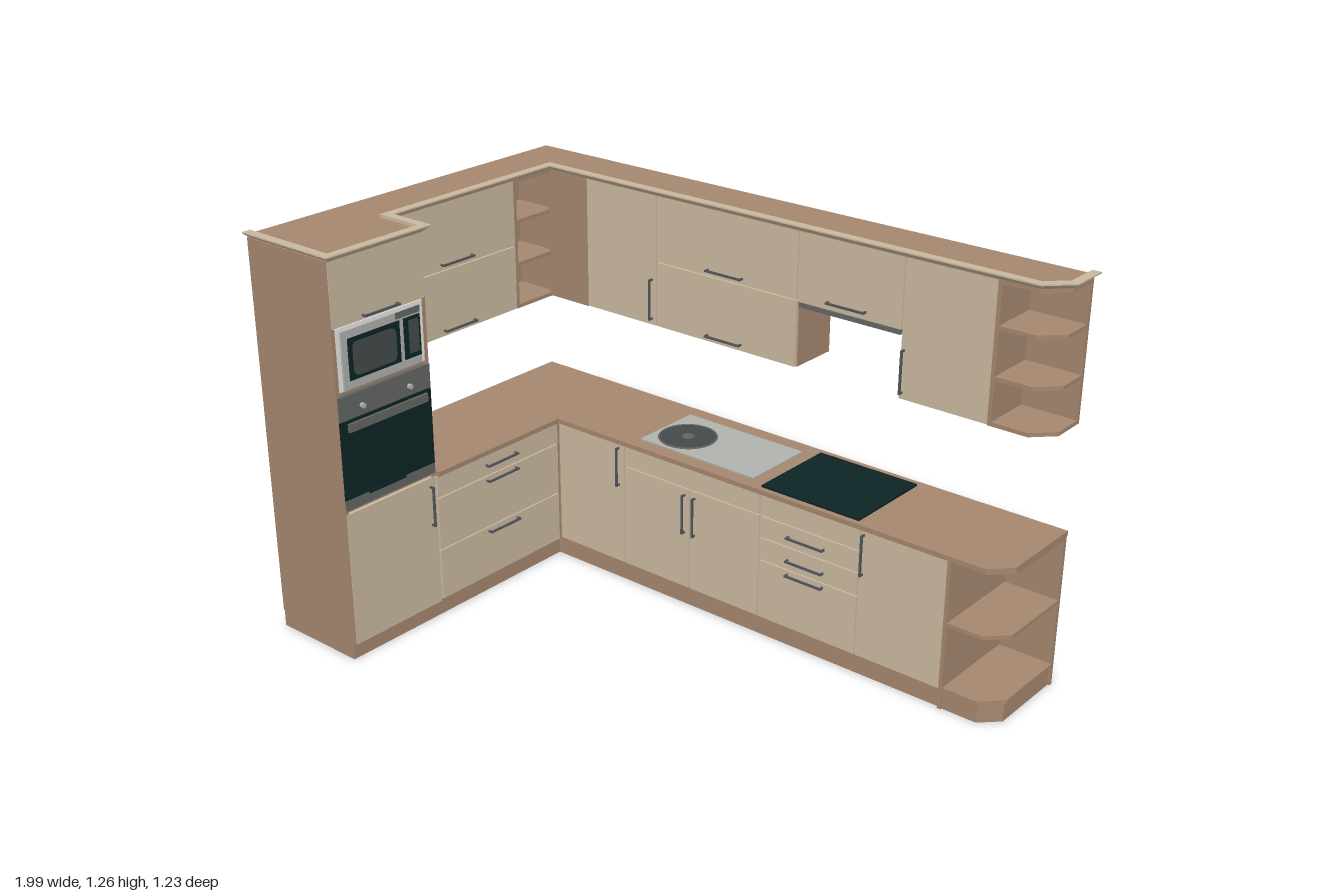
import * as THREE from 'three';

const mat = (name, color, side = THREE.FrontSide) => {
  const m = new THREE.MeshStandardMaterial({ color, side });
  m.name = name;
  return m;
};

export function createModel() {
  const root = new THREE.Group();
  root.name = 'cornerKitchen';
  const wood = mat('brownWood', 0xa5876f);
  const cream = mat('creamFront', 0xc9b89e, THREE.DoubleSide);
  const dark = mat('blackGlass', 0x0d2424);
  const steel = mat('lightSteel', 0xb0b2ae);
  const grey = mat('midGrey', 0x646664);
  const charcoal = mat('charcoal', 0x434a49);
  const handleMat = mat('handleMetal', 0x50565c);
  const white = mat('whiteFrame', 0xf4f4f2);

  const add = (name, geo, m) => {
    const mesh = new THREE.Mesh(geo, m);
    mesh.name = name;
    root.add(mesh);
    return mesh;
  };
  const box = (name, m, x0, x1, y0, y1, z0, z1) => {
    const mesh = add(name, new THREE.BoxGeometry(x1 - x0, y1 - y0, z1 - z0), m);
    mesh.position.set((x0 + x1) / 2, (y0 + y1) / 2, (z0 + z1) / 2);
    return mesh;
  };
  // Plan outline of [x, z] points raised from y0 to y1
  const prism = (name, m, pts, y0, y1) => {
    const shape = new THREE.Shape(pts.map(([x, z]) => new THREE.Vector2(x, -z)));
    const geo = new THREE.ExtrudeGeometry(shape, { depth: y1 - y0, bevelEnabled: false });
    return add(name, geo.rotateX(-Math.PI / 2).translate(0, y0, 0), m);
  };

  // Runs: the back run faces +z, the left run faces +x; "at" is the front plane
  const backLow = { x: false, at: -0.288 }, backUp = { x: false, at: -0.443 };
  const leftLow = { x: true, at: -0.667 }, leftUp = { x: true, at: -0.823 };
  const slab = (name, m, run, a0, a1, y0, y1, d0, d1) => run.x
    ? box(name, m, run.at + d0, run.at + d1, y0, y1, a0, a1)
    : box(name, m, a0, a1, y0, y1, run.at + d0, run.at + d1);
  const front = (run, a0, a1, y0, y1) =>
    slab('doorFront', cream, run, a0 + 0.002, a1 - 0.002, y0 + 0.002, y1 - 0.002, -0.012, 0);
  const bar = (run, a0, a1, y0, y1) => {
    slab('handle', handleMat, run, a0, a1, y0, y1, 0.01, 0.016);
    const tall = y1 - y0 > a1 - a0;
    for (const e of [0, 1]) {
      if (tall) { const y = e ? y1 - 0.006 : y0; slab('handlePost', handleMat, run, a0, a1, y, y + 0.006, 0, 0.01); }
      else { const a = e ? a1 - 0.006 : a0; slab('handlePost', handleMat, run, a, a + 0.006, y0, y1, 0, 0.01); }
    }
  };
  const hBar = (run, a, y) => bar(run, a - 0.066, a + 0.066, y - 0.003, y + 0.003);
  const vBar = (run, a, y) => bar(run, a - 0.003, a + 0.003, y - 0.066, y + 0.066);

  // Lower carcasses
  const B = -0.615, Y0 = 0.055, Y1 = 0.485;
  box('cornerCabinet', wood, -1, -0.387, Y0, Y1, B, -0.3);
  box('drawerCabinet', wood, 0.142, 0.494, Y0, Y1, B, -0.3);
  box('rightCabinet', wood, 0.497, 0.783, Y0, Y1, B, -0.3);
  box('leftCabinet', wood, -1, -0.679, Y0, Y1, -0.25, 0.247);
  box('cornerFiller', wood, -0.98, -0.679, Y0, Y1, -0.3, -0.25);
  // Sink cabinet, open at the back
  for (const x of [-0.385, 0.126]) box('sinkCabinetSide', wood, x, x + 0.014, Y0, Y1, B, -0.3);
  box('sinkCabinetFloor', wood, -0.385, 0.14, Y0, Y0 + 0.014, B, -0.3);
  box('sinkCabinetRail', wood, -0.385, 0.14, 0.445, Y1, B, B + 0.012);

  // Worktop
  prism('worktop', wood, [[-1, B], [0.97, B], [0.97, -0.33], [0.91, -0.27], [-0.65, -0.27],
    [-0.65, 0.25], [-1, 0.25]], 0.485, 0.5);

  // Plinths
  box('backPlinth', wood, -0.69, 0.785, 0, 0.06, -0.312, -0.3);
  box('leftPlinth', wood, -0.697, -0.685, 0, Y0, -0.312, 0.597);
  box('towerPlinth', wood, -1, -0.685, 0, Y0, 0.583, 0.597);

  // Legs
  const leg = (x, z) => {
    add('leg', new THREE.CylinderGeometry(0.008, 0.008, 0.06, 10), dark).position.set(x, 0.03, z);
  };
  for (const x of [-0.97, -0.405, -0.365, 0.12, 0.16, 0.475, 0.515, 0.76])
    for (const z of [-0.585, -0.335]) if (x > -0.9 || z < -0.5) leg(x, z);
  for (const z of [-0.34, -0.23, 0.225, 0.275, 0.565]) for (const x of [-0.97, -0.72]) leg(x, z);

  // Lower fronts and handles
  front(backLow, -0.665, -0.387, 0.065, Y1);
  front(backLow, -0.387, 0.142, 0.407, Y1);
  front(backLow, -0.387, -0.125, 0.065, 0.407);
  front(backLow, -0.125, 0.142, 0.065, 0.407);
  [0.065, 0.26, 0.335, 0.407].forEach((y, i, a) => front(backLow, 0.142, 0.496, y, a[i + 1] ?? Y1));
  front(backLow, 0.496, 0.785, 0.065, Y1);
  [[-0.41, 0.4], [-0.145, 0.32], [-0.105, 0.32], [0.51, 0.4]].forEach(([x, y]) => vBar(backLow, x, y));
  [0.37, 0.293, 0.245].forEach(y => hBar(backLow, 0.312, y));
  [0.06, 0.23, 0.405].forEach((y, i, a) => front(leftLow, -0.284, 0.246, y, a[i + 1] ?? Y1));
  [0.215, 0.39, 0.442].forEach(y => hBar(leftLow, -0.025, y));

  // Upper carcasses
  const U0 = 0.827, U1 = 1.245;
  box('upperCorner', wood, -1, -0.387, U0, U1, B, -0.455);
  box('upperCornerFace', wood, -0.835, -0.67, U0, U1, -0.455, -0.443);
  box('upperMiddle', wood, -0.386, 0.14, U0, U1, B, -0.455);
  box('hoodCabinet', wood, 0.14, 0.496, 1.03, U1, B, -0.455);
  box('upperRight', wood, 0.496, 0.783, U0, U1, B, -0.455);
  box('upperLeft', wood, -1, -0.835, U0, U1, -0.28, 0.248);
  box('hoodPanel', grey, 0.145, 0.492, 1.016, 1.03, -0.6, -0.443);

  // Open shelves at the inner corner
  box('cornerShelfBack', wood, -0.985, -0.973, U0, U1, -0.455, -0.28);
  for (const y of [U0, 0.965, 1.103, 1.233]) box('cornerShelf', wood, -0.975, -0.825, y, y + 0.012, -0.455, -0.28);
  box('cornerShelfSide', wood, -0.975, -0.825, U0, U1, -0.292, -0.28);

  // Upper fronts and handles
  front(backUp, -0.67, -0.387, U0, U1);
  front(backUp, -0.387, 0.14, U0, 1.035);
  front(backUp, -0.387, 0.14, 1.035, U1);
  front(backUp, 0.14, 0.496, 1.03, U1);
  front(backUp, 0.496, 0.785, U0, U1);
  [[-0.123, 1.055], [-0.123, 0.848], [0.312, 1.055]].forEach(([x, y]) => hBar(backUp, x, y));
  [-0.405, 0.508].forEach(x => vBar(backUp, x, 0.912));
  front(leftUp, -0.28, 0.247, U0, 1.035);
  front(leftUp, -0.28, 0.247, 1.035, U1);
  [0.847, 1.056].forEach(y => hBar(leftUp, -0.025, y));

  // Chamfered end shelves at the right
  const endUnit = (zf, c, levels, y0, y1) => {
    const plan = [[0.785, B], [0.968, B], [0.968, zf - c], [0.968 - c, zf], [0.785, zf]];
    levels.forEach(y => prism('endShelf', wood, plan, y, y + 0.012));
    box('endShelfBack', wood, 0.785, 0.968, y0, y1, B, B + 0.012);
    box('endShelfSide', wood, 0.783, 0.795, y0, y1, B, zf);
  };
  endUnit(-0.29, 0.06, [0.06, 0.27, 0.473], 0, Y1);
  endUnit(-0.443, 0.06, [U0, 0.96, 1.105, 1.233], U0, U1);
  // Hollow chamfered plinth below the lower shelves
  box('endPlinthFront', wood, 0.785, 0.908, 0, 0.06, -0.308, -0.296);
  box('endPlinthSide', wood, 0.95, 0.962, 0, 0.06, B, -0.35);
  prism('endPlinthChamfer', wood, [[0.962, -0.35], [0.908, -0.296], [0.9, -0.304], [0.95, -0.356]], 0, 0.06);

  // Appliance tower, open behind the oven and microwave
  box('towerFrontSide', wood, -1, -0.669, Y0, U1, 0.588, 0.6);
  box('towerInnerSide', wood, -1, -0.669, Y0, U1, 0.25, 0.262);
  for (const y of [Y0, 0.484, 0.845, 1.04, 1.233]) box('towerShelf', wood, -1, -0.679, y, y + 0.012, 0.262, 0.588);
  box('towerLowerBack', wood, -1, -0.99, Y0, 0.49, 0.262, 0.588);
  box('towerUpperBack', wood, -1, -0.99, 1.045, U1, 0.262, 0.588);
  front(leftLow, 0.25, 0.6, Y0, Y1);
  front(leftLow, 0.25, 0.6, 1.047, U1);
  vBar(leftLow, 0.273, 0.392);
  hBar(leftLow, 0.423, 1.062);

  // Oven
  slab('ovenBase', grey, leftLow, 0.252, 0.598, 0.497, 0.53, -0.02, 0.003);
  slab('ovenGlass', dark, leftLow, 0.252, 0.598, 0.53, 0.772, -0.02, 0.003);
  slab('ovenPanel', grey, leftLow, 0.252, 0.598, 0.772, 0.846, -0.02, 0.003);
  slab('ovenHandle', grey, leftLow, 0.275, 0.575, 0.738, 0.764, 0.008, 0.016);
  slab('ovenBaseTrim', dark, leftLow, 0.37, 0.51, 0.524, 0.532, 0.001, 0.006);
  for (const z of [0.335, 0.515]) {
    const knob = add('ovenKnob', new THREE.CylinderGeometry(0.008, 0.008, 0.014, 16).rotateZ(Math.PI / 2), steel);
    knob.position.set(-0.66, 0.802, z);
  }

  // Microwave
  box('microwaveBody', grey, -0.9, -0.68, 0.858, 1.02, 0.28, 0.57);
  slab('microwaveFrame', white, leftLow, 0.256, 0.592, 0.857, 1.045, -0.013, -0.004);
  slab('microwaveFace', steel, leftLow, 0.277, 0.57, 0.86, 1.034, -0.006, 0.002);
  slab('microwaveTrim', grey, leftLow, 0.277, 0.37, 1.015, 1.034, 0, 0.003);
  slab('microwaveDoor', dark, leftLow, 0.358, 0.55, 0.885, 1.01, 0, 0.005);
  slab('microwaveControls', dark, leftLow, 0.28, 0.342, 0.885, 1.01, 0, 0.005);
  slab('microwaveDisplay', charcoal, leftLow, 0.288, 0.325, 0.9, 1.0, 0.003, 0.007);
  const w = new THREE.Shape();
  w.moveTo(-0.06, -0.05).lineTo(0.06, -0.05).quadraticCurveTo(0.08, -0.05, 0.08, -0.03)
    .lineTo(0.08, 0.03).quadraticCurveTo(0.08, 0.05, 0.06, 0.05).lineTo(-0.06, 0.05)
    .quadraticCurveTo(-0.08, 0.05, -0.08, 0.03).lineTo(-0.08, -0.03).quadraticCurveTo(-0.08, -0.05, -0.06, -0.05);
  const pane = add('microwaveWindow', new THREE.ExtrudeGeometry(w, { depth: 0.003, bevelEnabled: false }), charcoal);
  pane.rotation.y = Math.PI / 2;
  pane.position.set(-0.662, 0.946, 0.455);

  // Hob and sink
  box('hob', dark, 0.145, 0.49, 0.498, 0.506, -0.588, -0.288);
  box('sinkPlate', steel, -0.345, 0.095, 0.498, 0.504, -0.56, -0.316);
  add('sinkBowl', new THREE.CylinderGeometry(0.09, 0.09, 0.006, 40), charcoal).position.set(-0.24, 0.503, -0.42);
  add('sinkRim', new THREE.TorusGeometry(0.09, 0.003, 6, 40).rotateX(Math.PI / 2), grey).position.set(-0.24, 0.505, -0.42);
  add('sinkDrain', new THREE.CylinderGeometry(0.02, 0.02, 0.002, 20), grey).position.set(-0.24, 0.507, -0.42);

  // Top boards and the cornice mitred along their front edge
  const edge = [[0.968, B], [0.968, -0.503], [0.908, -0.443], [-0.823, -0.443], [-0.823, 0.25],
    [-0.667, 0.25], [-0.667, 0.595], [-1, 0.595]];
  prism('topBoard', wood, [...edge, [-1, B]], 1.243, 1.254);
  const normals = edge.slice(1).map(([x, z], i) => {
    const dx = x - edge[i][0], dz = z - edge[i][1], l = Math.hypot(dx, dz);
    return [dz / l, -dx / l];
  });
  const section = [[-0.008, 1.246], [0.002, 1.246], [0.02, 1.26], [0.02, 1.264], [-0.008, 1.264]];
  const rings = edge.map(([x, z], i) => {
    const a = normals[Math.max(i - 1, 0)], b = normals[Math.min(i, normals.length - 1)];
    const k = 1 + a[0] * b[0] + a[1] * b[1];
    return section.map(([o, y]) => [x + o * (a[0] + b[0]) / k, y, z + o * (a[1] + b[1]) / k]);
  });
  const pos = [], n = section.length;
  for (let i = 0; i + 1 < rings.length; i++) for (let j = 0; j < n; j++) {
    const p = rings[i][j], q = rings[i][(j + 1) % n], r = rings[i + 1][j], s = rings[i + 1][(j + 1) % n];
    pos.push(...p, ...q, ...r, ...q, ...s, ...r);
  }
  const last = rings[rings.length - 1];
  for (let j = 1; j + 1 < n; j++) {
    pos.push(...rings[0][0], ...rings[0][j + 1], ...rings[0][j], ...last[0], ...last[j], ...last[j + 1]);
  }
  const cornice = new THREE.BufferGeometry();
  cornice.setAttribute('position', new THREE.Float32BufferAttribute(pos, 3));
  cornice.computeVertexNormals();
  add('cornice', cornice, cream);

  return root;
}
